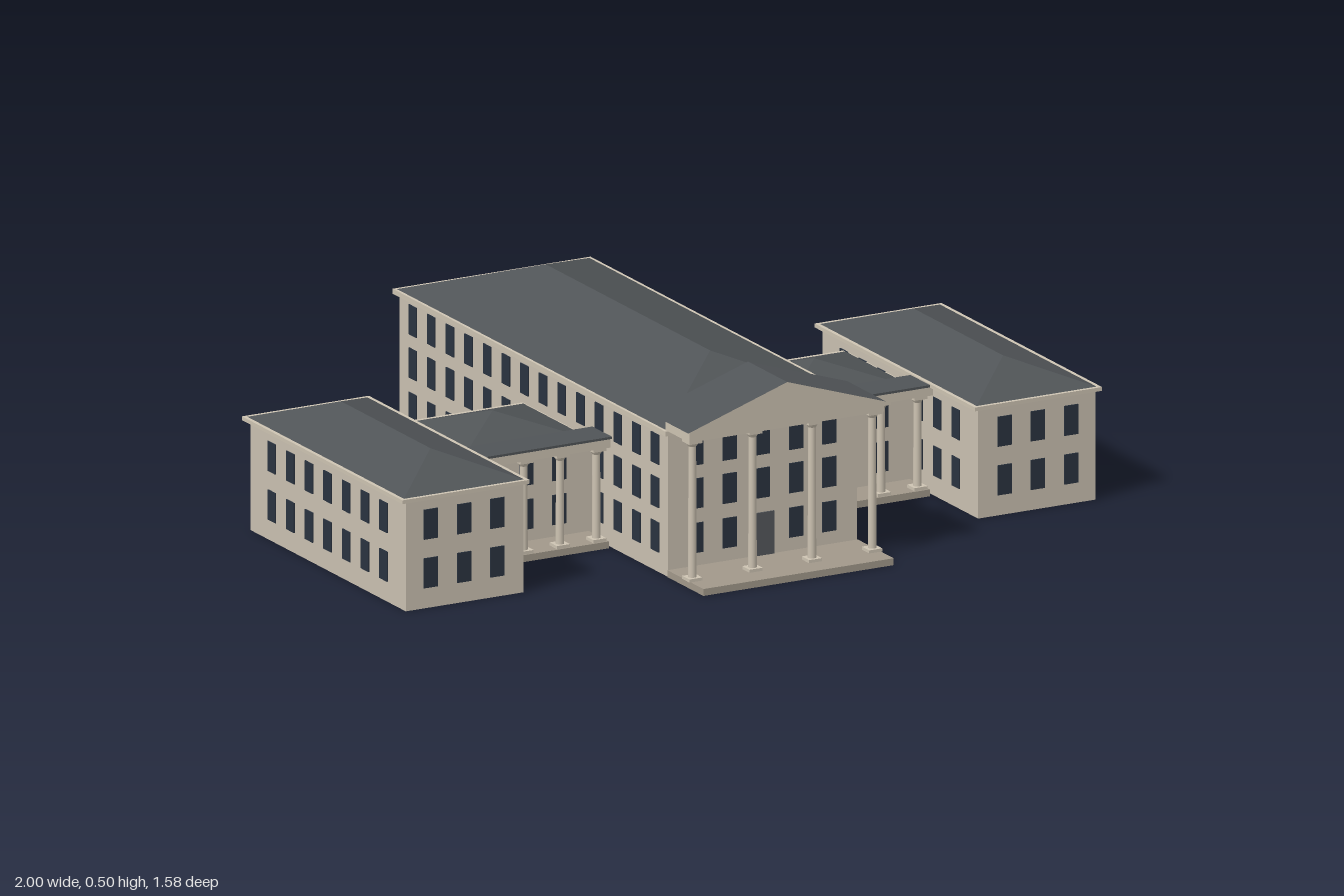
import * as THREE from 'three';

const paint = (name, color, side = THREE.FrontSide) => {
  const m = new THREE.MeshStandardMaterial({ color, side });
  m.name = name;
  return m;
};

export function createModel() {
  const wallMat = paint('limestone', 0xc9c0b0, THREE.DoubleSide);
  const trimMat = paint('trim stone', 0xcdc3b2);
  const stepMat = paint('step stone', 0xa1988a);
  const roofMat = paint('slate', 0x505457);
  const glassMat = paint('window glass', 0x2a3340);
  const doorMat = paint('door', 0x55585b);

  const add = (parent, name, geo, mat, x = 0, y = 0, z = 0) => {
    const mesh = new THREE.Mesh(geo, mat);
    mesh.name = name;
    mesh.position.set(x, y, z);
    parent.add(mesh);
    return mesh;
  };

  // Box given by its limits on each axis
  const block = (parent, name, mat, x0, x1, y0, y1, z0, z1) =>
    add(parent, name, new THREE.BoxGeometry(x1 - x0, y1 - y0, z1 - z0), mat,
      (x0 + x1) / 2, (y0 + y1) / 2, (z0 + z1) / 2);

  // Four walls, open below and above
  const walls = (parent, x0, x1, h, z0, z1) => {
    const geo = new THREE.CylinderGeometry(Math.SQRT1_2, Math.SQRT1_2, 1, 4, 1, true)
      .rotateY(Math.PI / 4).scale(x1 - x0, h, z1 - z0).toNonIndexed();
    geo.computeVertexNormals();
    add(parent, 'walls', geo, wallMat, (x0 + x1) / 2, h / 2, (z0 + z1) / 2);
  };

  // Roof: a box whose top is squeezed into a ridge along z
  const roof = (parent, name, x0, x1, y0, y1, z0, z1, ridge, endMat = roofMat) => {
    const box = new THREE.BoxGeometry(x1 - x0, y1 - y0, z1 - z0);
    const p = box.attributes.position;
    for (let i = 0; i < p.count; i++) {
      if (p.getY(i) > 0) {
        p.setX(i, 0);
        p.setZ(i, Math.sign(p.getZ(i)) * ridge / 2);
      }
    }
    const geo = box.toNonIndexed();
    geo.computeVertexNormals();
    add(parent, name, geo, [roofMat, roofMat, roofMat, trimMat, endMat, endMat],
      (x0 + x1) / 2, (y0 + y1) / 2, (z0 + z1) / 2);
  };

  // Rows of thin window plates; axis is the direction the row runs in
  const windows = (parent, axis, count, step, centre, wall, rows, skip = () => false) => {
    const alongX = axis === 'x';
    const geo = new THREE.BoxGeometry(alongX ? 0.04 : 0.006, 0.078, alongX ? 0.006 : 0.04);
    rows.forEach((y, r) => {
      for (let i = 0; i < count; i++) {
        if (skip(i, r)) continue;
        const t = centre + (i - (count - 1) / 2) * step;
        add(parent, 'window', geo, glassMat, alongX ? t : wall, y, alongX ? wall : t);
      }
    });
  };

  // Column with square base and flared capital
  const column = (parent, x, z, y0, y1, r) => {
    const g = new THREE.Group();
    g.name = 'column';
    parent.add(g);
    const w = r * 1.7;
    add(g, 'shaft', new THREE.CylinderGeometry(r * 0.88, r, y1 - y0, 16), trimMat, x, (y0 + y1) / 2, z);
    block(g, 'base', trimMat, x - w, x + w, y0, y0 + 0.008, z - w, z + w);
    block(g, 'abacus', trimMat, x - w, x + w, y1 - 0.008, y1, z - w, z + w);
    add(g, 'capital', new THREE.CylinderGeometry(r * 1.5, r * 0.9, 0.01, 16), trimMat, x, y1 - 0.013, z);
  };

  const group = (parent, name) => {
    const g = new THREE.Group();
    g.name = name;
    parent.add(g);
    return g;
  };

  const model = new THREE.Group();
  model.name = 'building';

  // Central block
  const main = group(model, 'mainBlock');
  const mainRows = [0.32, 0.207, 0.091];
  walls(main, -0.27, 0.27, 0.375, -0.775, 0.605);
  block(main, 'cornice', trimMat, -0.283, 0.283, 0.371, 0.384, -0.788, 0.614);
  roof(main, 'hipRoof', -0.275, 0.275, 0.384, 0.48, -0.78, 0.606, 0.845);
  for (const s of [-1, 1]) windows(main, 'z', 14, 0.0958, -0.0825, s * 0.27, mainRows);
  windows(main, 'x', 5, 0.095, 0, -0.775, mainRows);
  windows(main, 'x', 5, 0.095, 0, 0.605, mainRows, (i, r) => i === 2 && r === 2);
  block(main, 'door', doorMat, -0.032, 0.032, 0.018, 0.13, 0.602, 0.609);

  // Front portico
  const portico = group(model, 'portico');
  block(portico, 'platform', stepMat, -0.272, 0.272, 0, 0.018, 0.605, 0.79);
  for (const x of [-0.257, -0.085, 0.085, 0.257]) column(portico, x, 0.706, 0.018, 0.385, 0.011);
  block(portico, 'entablature', trimMat, -0.278, 0.278, 0.385, 0.41, 0.605, 0.73);
  roof(portico, 'pediment', -0.283, 0.283, 0.41, 0.503, 0.53, 0.732, 0.202, trimMat);

  for (const s of [-1, 1]) {
    // Takes limits measured on the +x side and mirrors them
    const span = (a, b) => (s > 0 ? [a, b] : [-b, -a]);

    // Outer wing
    const wing = group(model, s > 0 ? 'leftWing' : 'rightWing');
    const wingRows = [0.219, 0.092];
    walls(wing, ...span(0.65, 0.986), 0.287, -0.255, 0.544);
    block(wing, 'cornice', trimMat, ...span(0.637, 1.0), 0.284, 0.294, -0.273, 0.552);
    roof(wing, 'hipRoof', ...span(0.647, 0.99), 0.294, 0.355, -0.263, 0.542, 0.46);
    for (const x of [0.65, 0.986]) windows(wing, 'z', 7, 0.0957, 0.145, s * x, wingRows);
    for (const z of [-0.255, 0.544]) windows(wing, 'x', 3, 0.095, s * 0.82, z, wingRows);

    // Link between the central block and the wing
    const link = group(model, s > 0 ? 'leftLink' : 'rightLink');
    const linkRows = [0.203, 0.088];
    walls(link, ...span(0.27, 0.65), 0.25, -0.13, 0.215);
    block(link, 'cornice', trimMat, ...span(0.263, 0.657), 0.247, 0.257, -0.143, 0.228);
    roof(link, 'hipRoof', ...span(0.273, 0.647), 0.257, 0.314, -0.133, 0.22, 0.002);
    for (const z of [-0.13, 0.215]) windows(link, 'x', 3, 0.095, s * 0.46, z, linkRows);

    // Link colonnade
    block(link, 'platform', stepMat, ...span(0.28, 0.638), 0, 0.018, 0.215, 0.318);
    for (const x of [0.303, 0.407, 0.511, 0.615]) column(link, s * x, 0.295, 0.018, 0.262, 0.011);
    block(link, 'entablature', trimMat, ...span(0.275, 0.648), 0.262, 0.285, 0.222, 0.317);
    block(link, 'flatRoof', roofMat, ...span(0.272, 0.65), 0.285, 0.291, 0.22, 0.32);
  }

  return model;
}
